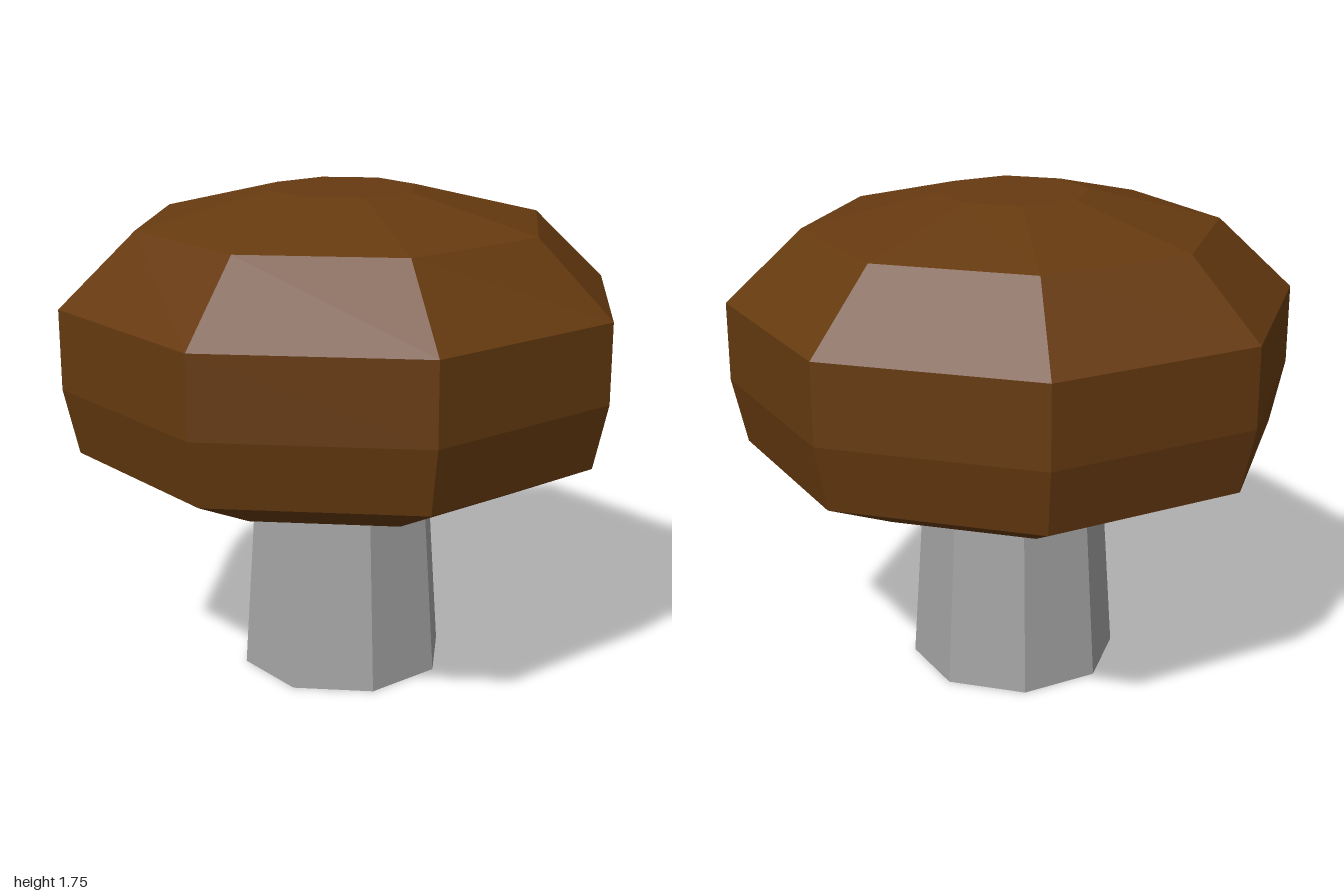
import * as THREE from 'three';

const SIDES = 8;

function flatMaterial(name, color) {
  const material = new THREE.MeshStandardMaterial({ color, flatShading: true });
  material.name = name;
  return material;
}

export function createModel() {
  const group = new THREE.Group();
  group.name = 'mushroom';

  // Tapered octagonal stem
  const stem = new THREE.Mesh(
    new THREE.CylinderGeometry(0.33, 0.375, 0.67, SIDES),
    flatMaterial('stemGrey', 0xa3a3a3)
  );
  stem.name = 'stem';
  stem.position.y = 0.335;
  group.add(stem);

  // Faceted cap, profile from the underside to the crown as [radius, height]
  const profile = [
    [0, 0.66], [0.33, 0.66], [0.655, 0.73], [0.95, 0.87], [1, 1.1],
    [1, 1.38], [0.73, 1.635], [0.265, 1.75], [0, 1.75],
  ].map(([r, y]) => new THREE.Vector2(r, y));
  const cap = new THREE.Mesh(
    new THREE.LatheGeometry(profile, SIDES),
    flatMaterial('capBrown', 0x663a10)
  );
  cap.name = 'cap';
  group.add(cap);

  return group;
}
